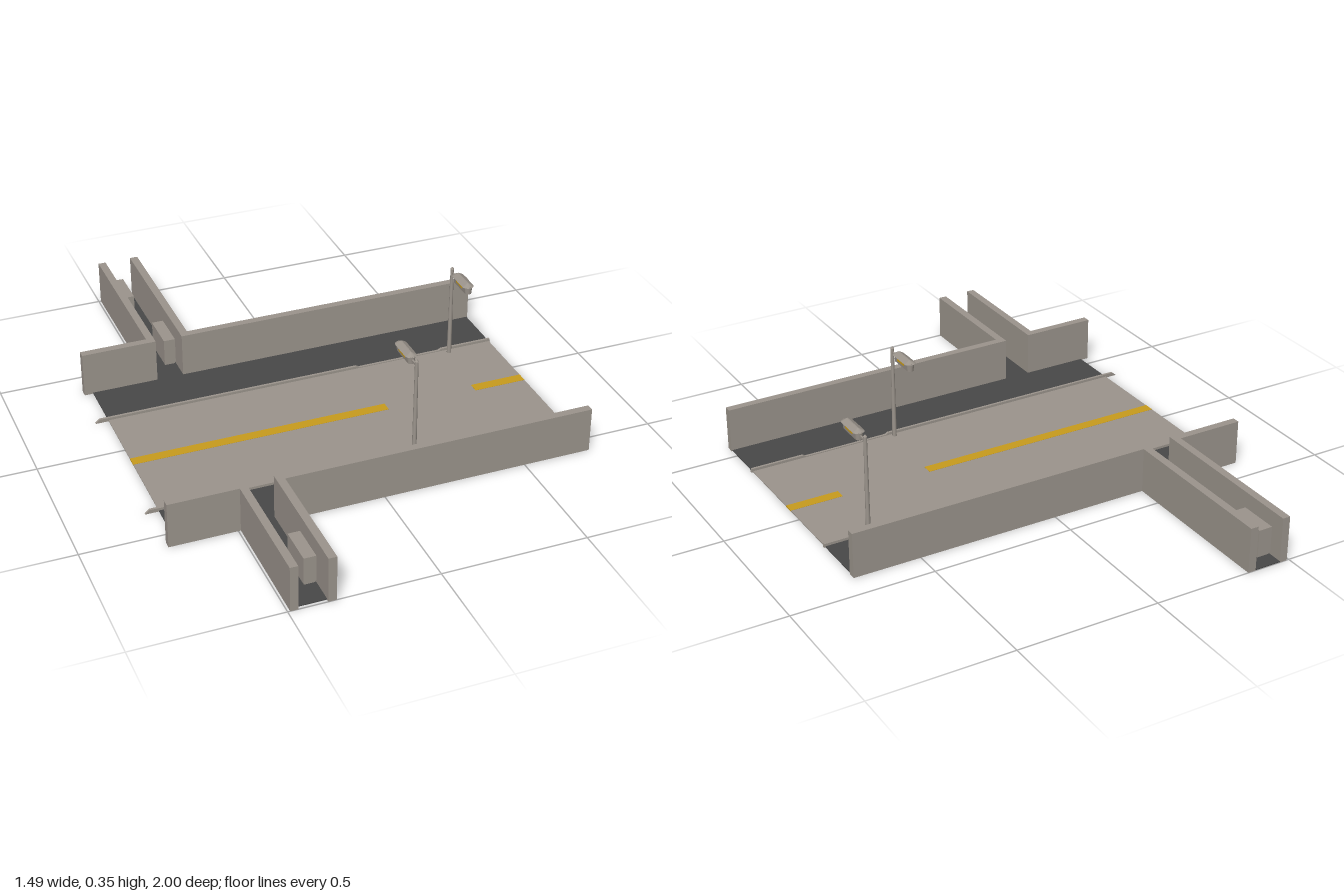
import * as THREE from 'three';

export function createModel() {
  const model = new THREE.Group();
  const mat = (name, color) => {
    const m = new THREE.MeshStandardMaterial({ color });
    m.name = name;
    return m;
  };
  const concrete = mat('concrete', 0x9b948c);
  const asphalt = mat('dark asphalt', 0x484848);
  const yellow = mat('road yellow', 0xc89b1d);

  const add = (parent, name, geometry, material) => {
    const mesh = new THREE.Mesh(geometry, material);
    mesh.name = name;
    parent.add(mesh);
    return mesh;
  };
  // Box given by its limits on each axis
  const block = (name, material, x0, x1, y0, y1, z0, z1, parent = model) => {
    const g = new THREE.BoxGeometry(x1 - x0, y1 - y0, z1 - z0);
    g.translate((x0 + x1) / 2, (y0 + y1) / 2, (z0 + z1) / 2);
    return add(parent, name, g, material);
  };

  // Ground
  block('road', concrete, -0.7, 0.735, 0.001, 0.004, -0.195, 0.37);
  block('longLaneStripe', yellow, -0.7, 0.215, 0.0002, 0.0048, 0.06, 0.098);
  block('shortLaneStripe', yellow, 0.545, 0.735, 0.0002, 0.0048, 0.06, 0.098);
  block('frontSidewalk', asphalt, -0.7, 0.735, 0.001, 0.004, 0.37, 0.54);
  block('backSidewalk', asphalt, -0.7, 0.735, 0.001, 0.004, -0.38, -0.195);
  block('frontAlleyFloor', asphalt, -0.465, -0.37, 0.001, 0.004, 0.54, 0.99);
  block('backAlleyFloor', asphalt, -0.465, -0.37, 0.001, 0.004, -1, -0.38);

  // Walls: an L on each side of both alleys
  const H = 0.16;
  for (const [side, inner, outer, end] of [['front', 0.54, 0.567, 1], ['back', -0.38, -0.407, -1]]) {
    const z0 = Math.min(inner, outer), z1 = Math.max(inner, outer);
    block(side + 'ShortStreetWall', concrete, -0.73, -0.465, 0, H, z0, z1);
    block(side + 'LongStreetWall', concrete, -0.37, 0.738, 0, H, z0, z1);
    const a = Math.min(outer, end), b = Math.max(outer, end);
    block(side + 'AlleyWallRight', concrete, -0.492, -0.465, 0, H, a, b);
    block(side + 'AlleyWallLeft', concrete, -0.37, -0.342, 0, H, a, b);
  }

  // Curbs, with a lower dropped stretch and a pointed end
  const curbShape = new THREE.Shape([
    [-0.745, 0], [0.74, 0], [0.738, 0.013], [0.545, 0.013], [0.535, 0.007],
    [0.225, 0.007], [0.215, 0.013], [-0.73, 0.013],
  ].map(p => new THREE.Vector2(...p)));
  for (const [name, z] of [['frontCurb', 0.366], ['backCurb', -0.199]]) {
    const g = new THREE.ExtrudeGeometry(curbShape, { depth: 0.009, bevelEnabled: false });
    add(model, name, g, concrete).position.z = z;
  }

  // Bins standing in the alleys
  for (const [x0, x1, z0, z1] of [
    [-0.464, -0.415, -0.95, -0.81], [-0.412, -0.371, -0.6, -0.46], [-0.412, -0.371, 0.77, 0.905],
  ]) {
    block('binBody', concrete, x0, x1, 0.013, 0.105, z0, z1);
    block('binBase', concrete, x0 + 0.002, x1 - 0.002, 0, 0.013, z0 + 0.004, z1 - 0.004);
  }

  // Cylinder pulled apart along z into a capsule outline
  const capsule = (top, bottom, height, half) => {
    const g = new THREE.CylinderGeometry(top, bottom, height, 24).toNonIndexed();
    const p = g.attributes.position;
    for (let i = 0; i < p.count; i++) {
      const z = p.getZ(i);
      if (Math.abs(z) > 1e-5) p.setZ(i, z + Math.sign(z) * half);
    }
    g.computeVertexNormals();
    return g;
  };

  // Street lamps, heads reaching over the road
  const lamp = (name, x, z, turn) => {
    const g = new THREE.Group();
    g.name = name;
    const post = add(g, 'post', new THREE.CylinderGeometry(0.006, 0.008, 0.345, 12), concrete);
    post.position.y = 0.1725;
    const tip = add(g, 'postCap', new THREE.ConeGeometry(0.007, 0.008, 12), concrete);
    tip.position.y = 0.349;
    block('arm', concrete, -0.003, 0.003, 0.327, 0.334, -0.045, 0, g);
    const housing = add(g, 'lampHousing', capsule(0.015, 0.012, 0.028, 0.042), concrete);
    housing.position.set(0, 0.33, -0.088);
    const roof = add(g, 'lampRoof', capsule(0.002, 0.021, 0.012, 0.038), concrete);
    roof.position.set(0, 0.348, -0.088);
    for (const s of [-1, 1]) {
      block('lampGlow', yellow, s * 0.0135 - 0.002, s * 0.0135 + 0.002, 0.328, 0.338, -0.112, -0.064, g);
    }
    g.position.set(x, 0, z);
    g.rotation.y = turn;
    model.add(g);
  };
  lamp('frontLamp', 0.197, 0.353, 0);
  lamp('backLamp', 0.568, -0.173, Math.PI);

  return model;
}
